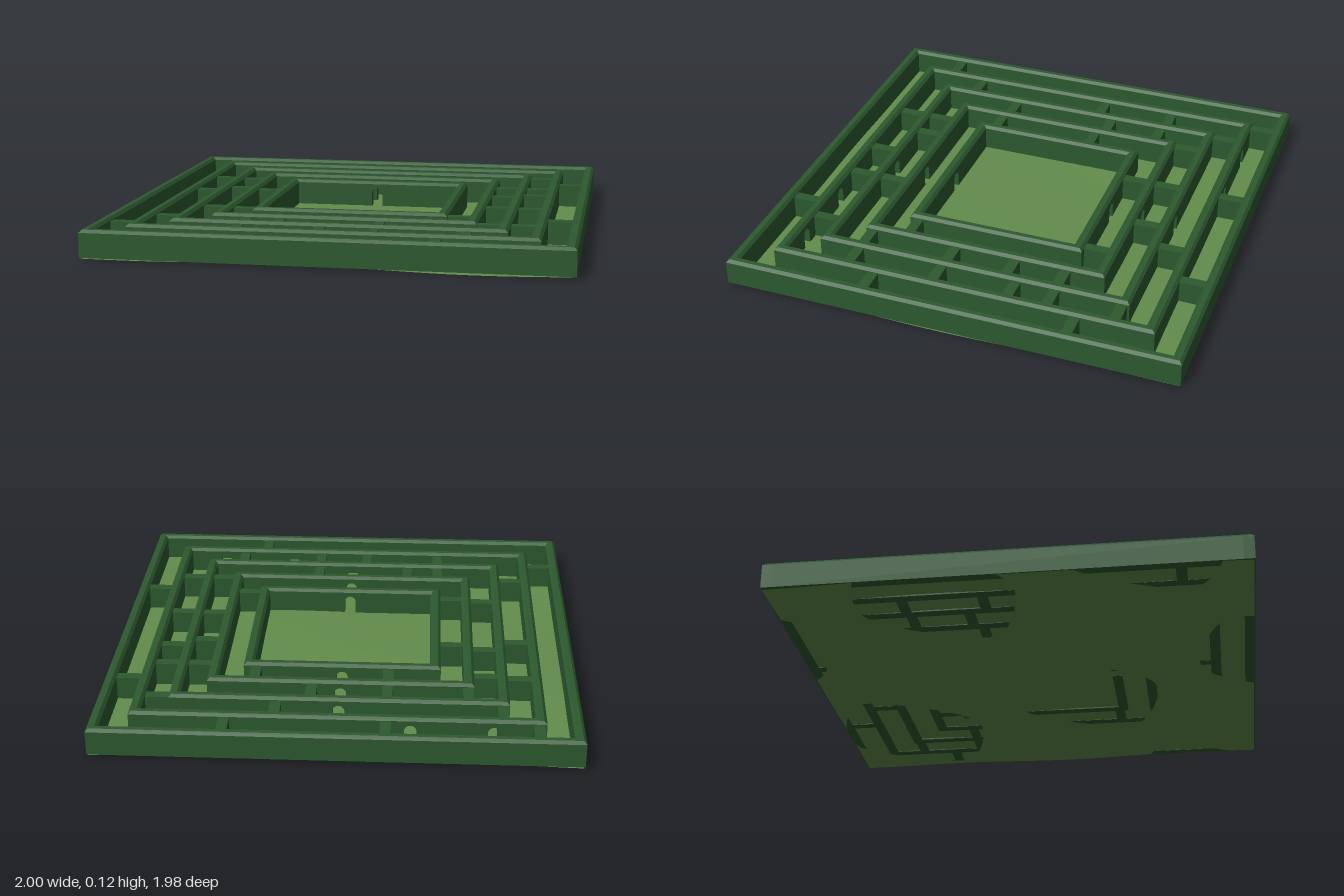
import * as THREE from 'three';

const hedge = new THREE.MeshStandardMaterial({ color: 0x2d5a30 });
const grass = new THREE.MeshStandardMaterial({ color: 0x638d4c, side: THREE.DoubleSide });
const T = 0.045;      // hedge thickness
const BASE = 0.01;    // foot of the hedges
const BODY = 0.108;   // where the chamfered cap begins
const CHAMFER = 0.012;

// Nested rectangles: half width, half depth, arch positions along front and back
const rings = [
  { x: 1, z: 0.99, front: [], back: [] },
  { x: 0.853, z: 0.84, front: [0.3, 0.64], back: [-0.3, -0.64] },
  { x: 0.709, z: 0.692, front: [0], back: [0] },
  { x: 0.567, z: 0.542, front: [0], back: [0] },
  { x: 0.425, z: 0.395, front: [0], back: [0] },
];

// Dividers in each corridor, from the outside inwards
const dividers = [
  { back: [-0.82, -0.2, 0.46], front: [0.435], left: [-0.505, 0.38], right: [0.7] },
  { back: [-0.68, 0.26], front: [-0.41, -0.065, 0.16, 0.54],
    left: [-0.66, -0.37, -0.2, 0.13, 0.51], right: [-0.45, -0.115, 0.53] },
  { back: [-0.54, -0.2, 0.12], front: [-0.41, -0.265, 0.16],
    left: [-0.37, -0.145, 0.125, 0.51], right: [-0.435, -0.19, 0.295] },
  { back: [-0.2, 0.37], front: [], left: [0.355], right: [-0.15, 0.315] },
];

function add(group, name, geometry, material, x = 0, y = 0, z = 0) {
  const mesh = new THREE.Mesh(geometry, material);
  mesh.name = name;
  mesh.position.set(x, y, z);
  group.add(mesh);
  return mesh;
}

// Straight hedge along x, pierced by round-topped doorways
function archedWall(halfLength, doors) {
  const r = 0.025, spring = 0.068;
  const s = new THREE.Shape();
  s.moveTo(-halfLength, BASE);
  for (const d of [...doors].sort((a, b) => a - b)) {
    s.lineTo(d - r, BASE);
    s.lineTo(d - r, spring);
    s.absarc(d, spring, r, Math.PI, 0, true);
    s.lineTo(d + r, BASE);
  }
  s.lineTo(halfLength, BASE);
  s.lineTo(halfLength, BODY);
  s.lineTo(-halfLength, BODY);
  s.closePath();
  return new THREE.ExtrudeGeometry(s, { depth: T, bevelEnabled: false, curveSegments: 8 });
}

// Rectangular frame with chamfered upper edges; the lower chamfer sinks into the wall
function frameCap(x, z) {
  const rect = (P, a, b) => {
    const p = new P();
    p.moveTo(-a, -b);
    p.lineTo(a, -b);
    p.lineTo(a, b);
    p.lineTo(-a, b);
    p.closePath();
    return p;
  };
  const s = rect(THREE.Shape, x, z);
  s.holes.push(rect(THREE.Path, x - T, z - T));
  const g = new THREE.ExtrudeGeometry(s, {
    depth: 0.005, bevelEnabled: true, bevelSegments: 1,
    bevelThickness: CHAMFER, bevelSize: CHAMFER, bevelOffset: -CHAMFER,
  });
  return g.rotateX(-Math.PI / 2);
}

function makeRing({ x, z, front, back }, i) {
  const g = new THREE.Group();
  g.name = `hedgeRing${i + 1}`;
  add(g, 'frontHedge', archedWall(x, front), hedge, 0, 0, z - T);
  add(g, 'backHedge', archedWall(x, back), hedge, 0, 0, -z);
  for (const side of [-1, 1]) {
    const box = new THREE.BoxGeometry(T, BODY - BASE, 2 * (z - T));
    add(g, side > 0 ? 'leftHedge' : 'rightHedge', box, hedge, side * (x - T / 2), (BODY + BASE) / 2, 0);
  }
  add(g, 'hedgeTop', frameCap(x, z), hedge, 0, BODY, 0);
  return g;
}

function makeDividers(list, i) {
  const g = new THREE.Group();
  g.name = `corridorDividers${i + 1}`;
  const outer = rings[i], inner = rings[i + 1];
  const top = 0.11, h = top - BASE, y = (top + BASE) / 2;
  const lenX = outer.x - T - inner.x + 0.01, lenZ = outer.z - T - inner.z + 0.01;
  const midX = (outer.x - T + inner.x) / 2, midZ = (outer.z - T + inner.z) / 2;
  const across = new THREE.BoxGeometry(lenX, h, T);
  const along = new THREE.BoxGeometry(T, h, lenZ);
  for (const p of list.front) add(g, 'frontDivider', along, hedge, p, y, midZ);
  for (const p of list.back) add(g, 'backDivider', along, hedge, p, y, -midZ);
  for (const p of list.left) add(g, 'leftDivider', across, hedge, midX, y, p);
  for (const p of list.right) add(g, 'rightDivider', across, hedge, -midX, y, p);
  return g;
}

// Gently uneven lawn
function makeLawn() {
  const geo = new THREE.PlaneGeometry(1.99, 1.97, 40, 40).rotateX(-Math.PI / 2);
  const p = geo.attributes.position;
  for (let i = 0; i < p.count; i++) {
    const x = p.getX(i), z = p.getZ(i);
    const wave = Math.sin(5 * x + 2 * z) + Math.sin(6 * z - 3 * x + 1);
    p.setY(i, 0.0085 + 0.0042 * wave);
  }
  geo.computeVertexNormals();
  return geo;
}

export function createModel() {
  const model = new THREE.Group();
  model.name = 'hedgeMaze';
  add(model, 'lawn', makeLawn(), grass);
  rings.forEach((r, i) => model.add(makeRing(r, i)));
  dividers.forEach((d, i) => model.add(makeDividers(d, i)));
  return model;
}
